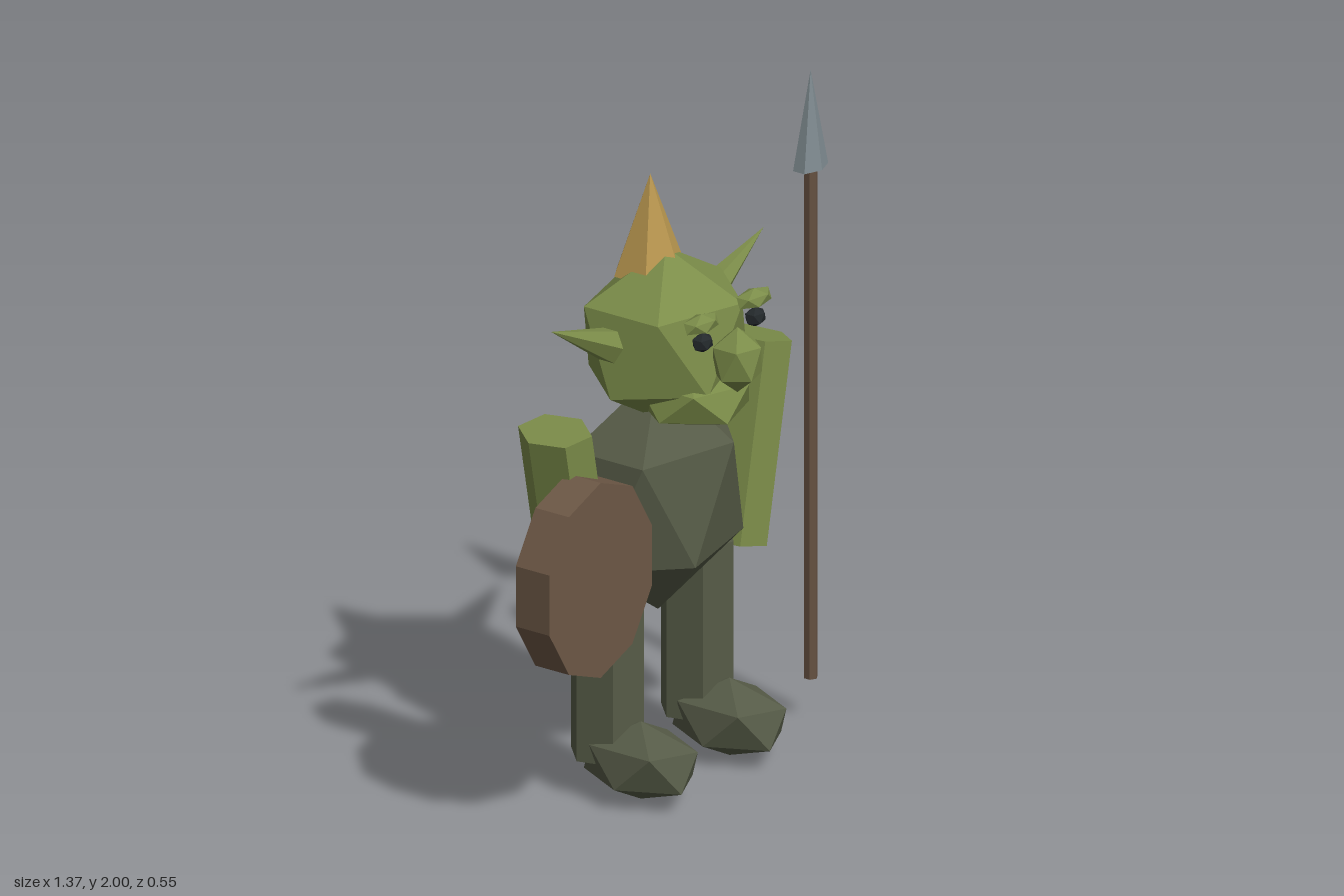
import * as THREE from 'three';

const mat = (color) => new THREE.MeshStandardMaterial({ color, flatShading: true });
const rad = THREE.MathUtils.degToRad;
const AXIS = 0.05; // the body's plane of symmetry

// Twenty-sided ball with its points at top and bottom, scaled by the three radii
function icoGeometry() {
  const verts = [0, 1, 0];
  const faces = [];
  const ring = 2 / Math.sqrt(5), h = 1 / Math.sqrt(5);
  for (const [start, y] of [[0, h], [Math.PI / 5, -h]]) {
    for (let k = 0; k < 5; k++) {
      const a = start + (k * Math.PI * 2) / 5;
      verts.push(ring * Math.cos(a), y, ring * Math.sin(a));
    }
  }
  verts.push(0, -1, 0);
  for (let k = 0; k < 5; k++) {
    const n = (k + 1) % 5;
    const u0 = 1 + k, u1 = 1 + n, l0 = 6 + k, l1 = 6 + n;
    faces.push(0, u1, u0, u0, u1, l0, l0, u1, l1, l0, l1, 11);
  }
  return new THREE.PolyhedronGeometry(verts, faces, 1, 0);
}

export function createModel() {
  const model = new THREE.Group();
  model.name = 'goblinGuard';

  const skin = mat(0x7b8c49);
  const cloth = mat(0x565b47);
  const gold = mat(0xb8964f);
  const wood = mat(0x6d5846);
  const shaftWood = mat(0x665141);
  const metal = mat(0x7f8b90);
  const black = mat(0x23282b);

  const add = (name, geometry, material, x, y, z) => {
    const mesh = new THREE.Mesh(geometry, material);
    mesh.name = name;
    mesh.position.set(x, y, z);
    model.add(mesh);
    return mesh;
  };
  const ico = icoGeometry();
  const ball = (name, material, pos, radii) => {
    const mesh = add(name, ico, material, ...pos);
    mesh.scale.set(...radii);
    return mesh;
  };

  // Torso, head and face
  ball('torso', cloth, [AXIS, 0.865, -0.077], [0.33, 0.368, 0.238]);
  ball('head', skin, [AXIS, 1.35, -0.05], [0.293, 0.268, 0.252]);
  ball('nose', skin, [AXIS, 1.333, 0.207], [0.084, 0.1, 0.08]);
  ball('jaw', skin, [AXIS, 1.195, 0.05], [0.182, 0.1, 0.188]);

  // Pointed hat
  add('hat', new THREE.ConeGeometry(0.112, 0.3, 6), gold, AXIS, 1.68, -0.105);

  // Paired parts: side +1 is the left, -1 the right
  const earLength = 0.42, earTilt = rad(25);
  const armTop = [0.474, 1.193], armEnd = [0.355, 0.6];
  const armDx = armTop[0] - armEnd[0], armDy = armTop[1] - armEnd[1];
  for (const side of [1, -1]) {
    const tag = side > 0 ? 'left' : 'right';
    const at = (offset) => AXIS + side * offset;

    ball(tag + 'Eye', black, [at(0.125), 1.418, 0.177], [0.039, 0.03, 0.03]);
    ball(tag + 'Brow', skin, [at(0.125), 1.474, 0.172], [0.076, 0.03, 0.041]);

    const ear = add(tag + 'Ear', new THREE.ConeGeometry(0.073, earLength, 6), skin,
      at(0.504 - (Math.cos(earTilt) * earLength) / 2),
      1.51 - (Math.sin(earTilt) * earLength) / 2, -0.08);
    ear.rotation.z = -side * (Math.PI / 2 - earTilt);

    const limb = (r, length) =>
      new THREE.CylinderGeometry(r, r, length, 6, 1, false, rad(15));

    const arm = add(tag + 'Arm', limb(1 / 0.966, Math.hypot(armDx, armDy)), skin,
      at((armTop[0] + armEnd[0]) / 2), (armTop[1] + armEnd[1]) / 2, -0.088);
    arm.scale.set(0.087, 1, 0.115);
    arm.rotation.z = -side * Math.atan2(armDx, armDy);

    add(tag + 'Leg', limb(0.112, 0.53), cloth, at(0.213), 0.384, -0.097);
    ball(tag + 'Foot', cloth, [at(0.21), 0.123, 0.02], [0.1415, 0.119, 0.205]);
  }

  // Ten-sided shield by the right arm
  const shieldShape = new THREE.CylinderGeometry(1, 1, 0.12, 10);
  shieldShape.rotateX(Math.PI / 2);
  const shield = add('shield', shieldShape, wood, -0.446, 0.784, 0.032);
  shield.scale.set(0.256, 0.3, 1);

  // Spear by the left arm
  add('spearShaft', new THREE.CylinderGeometry(0.021, 0.021, 1.57, 6), shaftWood, 0.625, 0.915, 0.035);
  const tip = add('spearTip', new THREE.ConeGeometry(1, 0.3, 6), metal, 0.625, 1.85, 0.035);
  tip.scale.set(0.065, 1, 0.041);

  return model;
}
